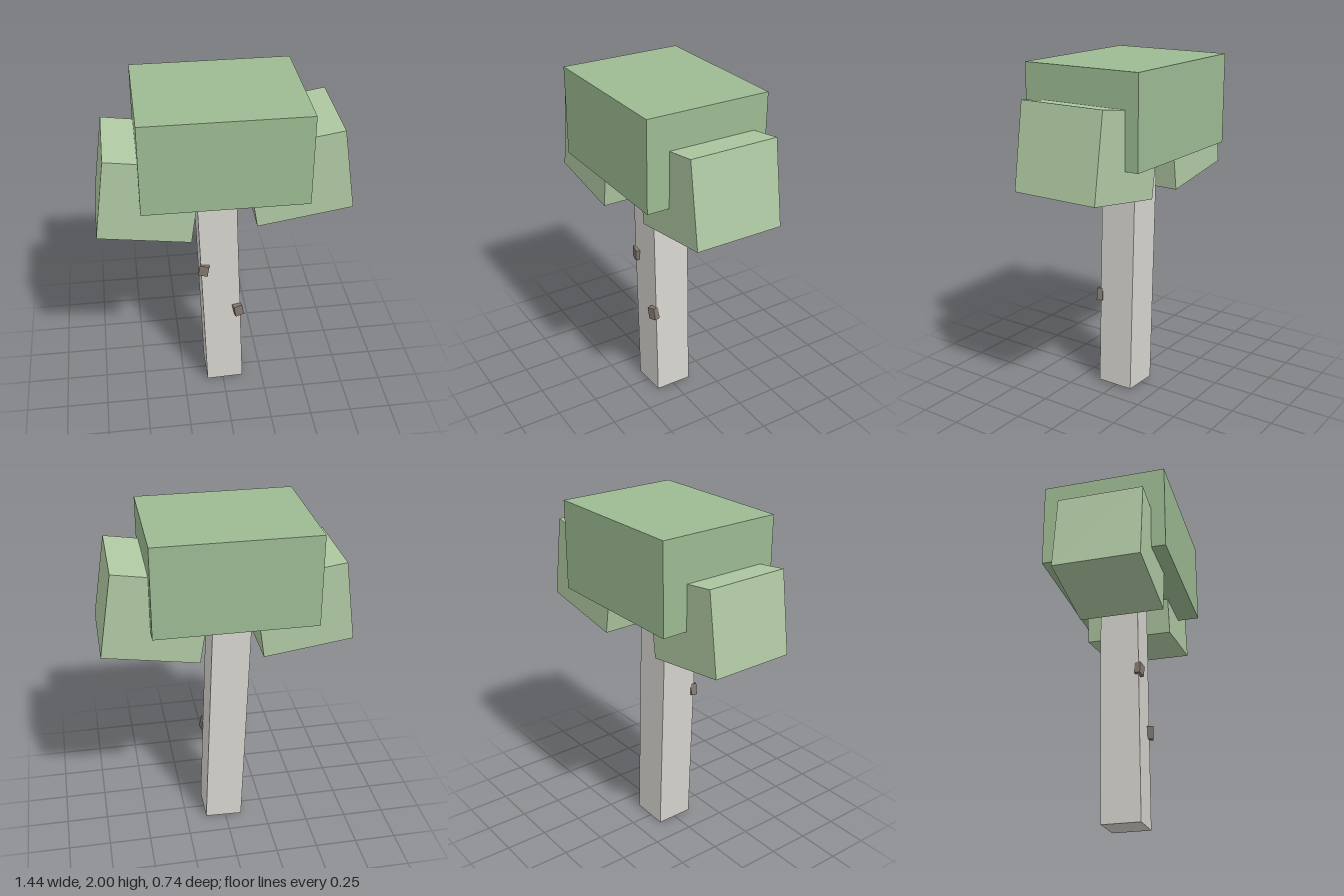
import * as THREE from 'three';

const material = (color) => new THREE.MeshStandardMaterial({ color, flatShading: true });

export function createModel() {
  const tree = new THREE.Group();
  tree.name = 'blockTree';
  const bark = material(0xd6d4ce);
  const knotBark = material(0x83786f);
  const darkLeaf = material(0x9cba92);
  const lightLeaf = material(0xb0c9a3);

  function block(name, mat, size, position, rotation = [0, 0, 0]) {
    const mesh = new THREE.Mesh(new THREE.BoxGeometry(...size), mat);
    mesh.name = name;
    mesh.position.set(...position);
    mesh.rotation.set(...rotation);
    tree.add(mesh);
  }

  // Slightly leaning trunk, its lower end resting on the ground
  const lean = 0.036, height = 1.6;
  block('trunk', bark, [0.226, height, 0.228],
    [0.012 - Math.sin(lean) * height / 2, 0.004 + Math.cos(lean) * height / 2, 0.001], [0, 0, lean]);

  // Foliage: one level block on top, a tilted one on each side
  block('crown', darkLeaf, [0.918, 0.525, 0.741], [-0.016, 1.7375, -0.003]);
  block('rightFoliage', lightLeaf, [0.525, 0.479, 0.505], [-0.4275, 1.4915, 0.032], [0, 0, -0.138]);
  block('leftFoliage', lightLeaf, [0.549, 0.492, 0.527], [0.4075, 1.5465, -0.0285], [0, 0, 0.159]);

  // Small bark knots on the front of the trunk
  block('upperKnot', knotBark, [0.056, 0.07, 0.036], [-0.116, 0.891, 0.115], [0, -0.2, -0.15]);
  block('lowerKnot', knotBark, [0.053, 0.075, 0.036], [0.089, 0.573, 0.124], [0, 0.25, 0.19]);

  return tree;
}
